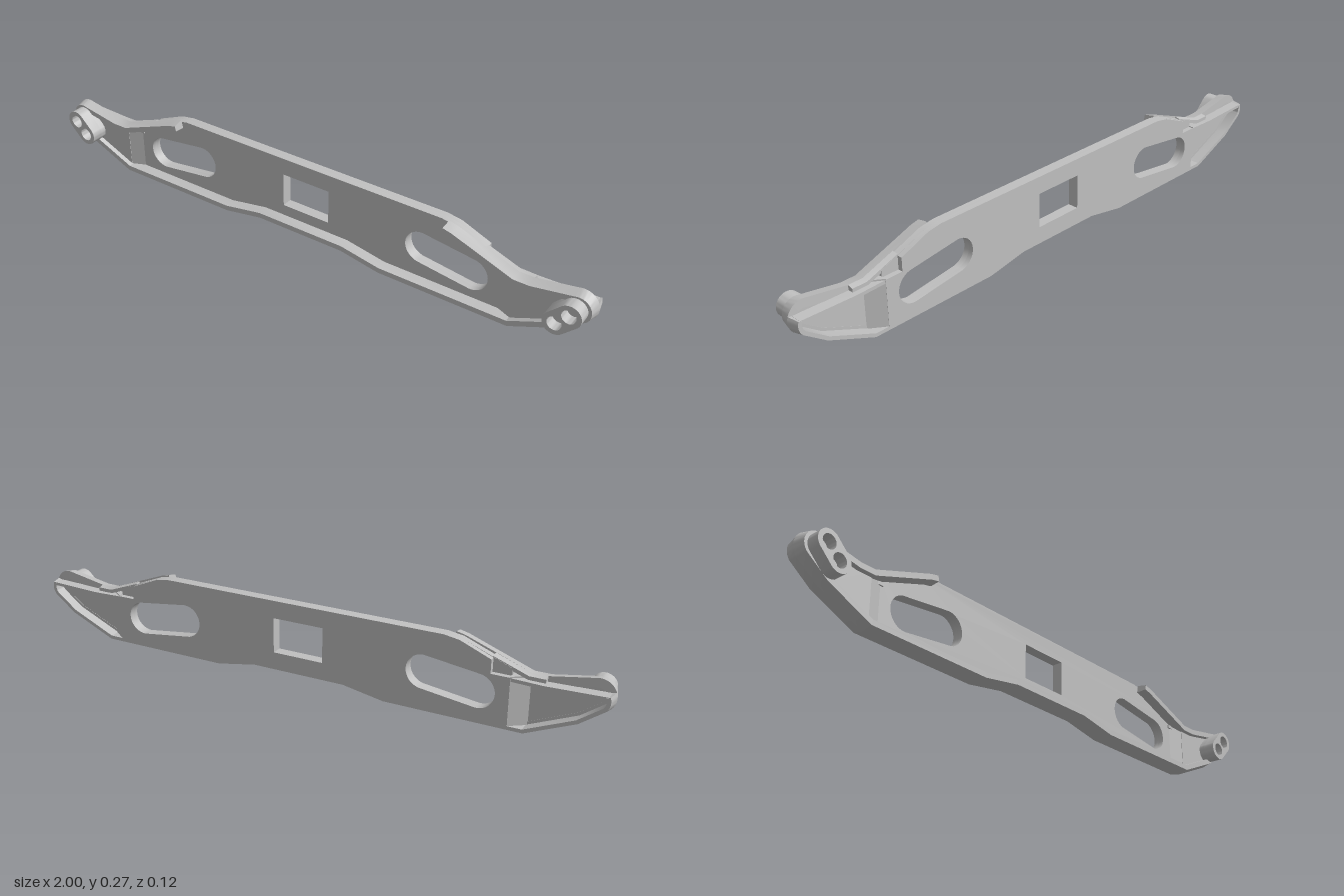
import * as THREE from 'three';
import { toCreasedNormals } from 'three/addons/utils/BufferGeometryUtils.js';

const grey = new THREE.MeshStandardMaterial({ color: 0xc0c0c0 });
grey.name = 'grey';

const mirror = (pts) => pts.map(([x, y]) => [-x, y]);
const toV2 = (pts) => pts.map(([x, y]) => new THREE.Vector2(x, y));

// Half outline, clockwise: upper shoulder, rounded tip, lower edge
const TIP = [0.948, 0.162];
const top = [[0.515, 0.271], [0.545, 0.264], [0.75, 0.188], [0.8, 0.188]];
const tip = [];
for (let a = 108; a >= -44; a -= 8) {
  const t = THREE.MathUtils.degToRad(a);
  tip.push([TIP[0] + 0.052 * Math.cos(t), TIP[1] + 0.052 * Math.sin(t)]);
}
const bottom = [[0.91, 0.07], [0.75, 0], [0.3, 0], [0.16, 0.025]];

// Move an open path to its right-hand side by d, with mitred corners
function inset(pts, d) {
  const normal = (a, b) => {
    const l = Math.hypot(b[0] - a[0], b[1] - a[1]);
    return [(b[1] - a[1]) / l, -(b[0] - a[0]) / l];
  };
  return pts.map((p, i) => {
    const m = normal(pts[Math.max(i - 1, 0)], pts[Math.max(i, 1)]);
    const n = i < pts.length - 1 ? normal(p, pts[i + 1]) : m;
    const k = d / (1 + m[0] * n[0] + m[1] * n[1]);
    return [p[0] + (m[0] + n[0]) * k, p[1] + (m[1] + n[1]) * k];
  });
}

// Sweep a convex section of [inset, z] corners along a path
function sweep(path, section) {
  const rows = section.map(([d, z]) => inset(path, d).map(([x, y]) => [x, y, z]));
  const n = section.length, last = path.length - 1, pos = [];
  const tri = (a, b, c) => pos.push(...a, ...b, ...c);
  for (let i = 0; i < last; i++) {
    for (let j = 0; j < n; j++) {
      const r = rows[j], s = rows[(j + 1) % n];
      tri(r[i], s[i], s[i + 1]);
      tri(r[i], s[i + 1], r[i + 1]);
    }
  }
  for (let j = 1; j < n - 1; j++) {
    tri(rows[0][0], rows[j + 1][0], rows[j][0]);
    tri(rows[0][last], rows[j][last], rows[j + 1][last]);
  }
  const g = new THREE.BufferGeometry();
  g.setAttribute('position', new THREE.Float32BufferAttribute(pos, 3));
  g.computeVertexNormals();
  return toCreasedNormals(g, 0.4);
}

// Flat slab between two depths; outline anticlockwise, holes clockwise
function slab(pts, z0, z1, holes = []) {
  const wind = (loop, clockwise) => {
    const v = toV2(loop);
    return THREE.ShapeUtils.isClockWise(v) === clockwise ? v : v.reverse();
  };
  const shape = new THREE.Shape(wind(pts, false));
  shape.holes = holes.map((h) => new THREE.Path(wind(h, true)));
  const g = new THREE.ExtrudeGeometry(shape, { depth: z1 - z0, bevelEnabled: false });
  g.translate(0, 0, z0);
  return toCreasedNormals(g, 0.5);
}

// Tilted stadium outline
function stadium(cx, cy, half, r, angle) {
  const pts = [];
  for (let i = 0; i < 32; i++) {
    const a = -Math.PI / 2 + (i + 0.5) * Math.PI / 16;
    const x = r * Math.cos(a) + (i < 16 ? half : -half), y = r * Math.sin(a);
    pts.push([cx + x * Math.cos(angle) - y * Math.sin(angle), cy + x * Math.sin(angle) + y * Math.cos(angle)]);
  }
  return pts;
}

export function createModel() {
  const model = new THREE.Group();
  const add = (name, geometry, parent = model) => {
    const mesh = new THREE.Mesh(geometry, grey);
    mesh.name = name;
    parent.add(mesh);
  };
  const withMirror = (half) => [...half, ...mirror(half).reverse()];

  // Central plate: front layer and notched back layer
  const slot = stadium(0.515, 0.124, 0.087, 0.056, -0.13);
  const square = [[-0.088, 0.092], [0.088, 0.092], [0.088, 0.21], [-0.088, 0.21]];
  const holes = [square, slot, mirror(slot)];
  const lower = [[0.7, 0.013], [0.3, 0.013], [0.16, 0.036]];
  const shoulder = [[0.49, 0.269], [0.54, 0.261]];
  add('plateFront', slab(withMirror([...shoulder, [0.7, 0.198], ...lower]), -0.04, -0.02, holes));
  add('plateBack', slab(withMirror([...shoulder, [0.64, 0.22], [0.64, 0.175], [0.7, 0.175], ...lower]), -0.057, -0.04, holes));

  // Raised front rim around the ends and the lower edge
  add('frontRim', sweep(withMirror([...top, ...tip, ...bottom]),
    [[0, -0.02], [0.008, 0.016], [0.026, 0.016], [0.029, -0.021]]));
  // Tapered back wall along the lower edge
  add('backWall', sweep(withMirror([...tip.slice(11), ...bottom]),
    [[0.008, -0.057], [0, -0.02], [0.02, -0.02], [0.02, -0.057]]));

  for (const side of [1, -1]) {
    const end = new THREE.Group();
    end.name = side > 0 ? 'leftEnd' : 'rightEnd';
    model.add(end);
    const flip = (pts) => (side > 0 ? pts : mirror(pts));

    // Thin end floor, set forward of the plate
    const floor = inset([...top, ...tip, ...bottom], 0.012).filter(([x]) => x > 0.73);
    add('endFloor', slab(flip(floor), -0.02, 0), end);

    // Ramp joining the plate to the end floor, extruded upwards
    const ramp = slab(flip([[0.699, 0.057], [0.699, 0.02], [0.751, 0], [0.751, 0.02]]), 0.013, 0.178);
    ramp.rotateX(-Math.PI / 2);
    add('ramp', ramp, end);

    // Short ledge behind the upper rim
    const ledge = [[0.64, 0.228], ...top.slice(2)];
    add('upperLedge', sweep(side > 0 ? ledge : mirror(ledge).reverse(),
      [[0.004, -0.039], [0, -0.02], [0.016, -0.02], [0.016, -0.039]]), end);

    // Rail closing the top of the back pocket
    add('pocketRail', slab(flip([[0.69, 0.163], [0.69, 0.174], [0.8, 0.171], [0.985, 0.177], [0.985, 0.167], [0.8, 0.16]]), -0.056, -0.015), end);

    // Twin-hole boss
    const a = [0.943, 0.162], b = [0.904, 0.122];
    const half = Math.hypot(a[0] - b[0], a[1] - b[1]) / 2;
    const outline = flip(stadium((a[0] + b[0]) / 2, (a[1] + b[1]) / 2, half, 0.038, Math.PI / 4));
    const bores = [a, b].map(([x, y]) => flip(stadium(x, y, 0, 0.023, 0)));
    add('boss', slab(outline, 0.02, 0.059, bores), end);
    add('bossBase', slab(outline, -0.002, 0.02), end);
  }
  return model;
}
